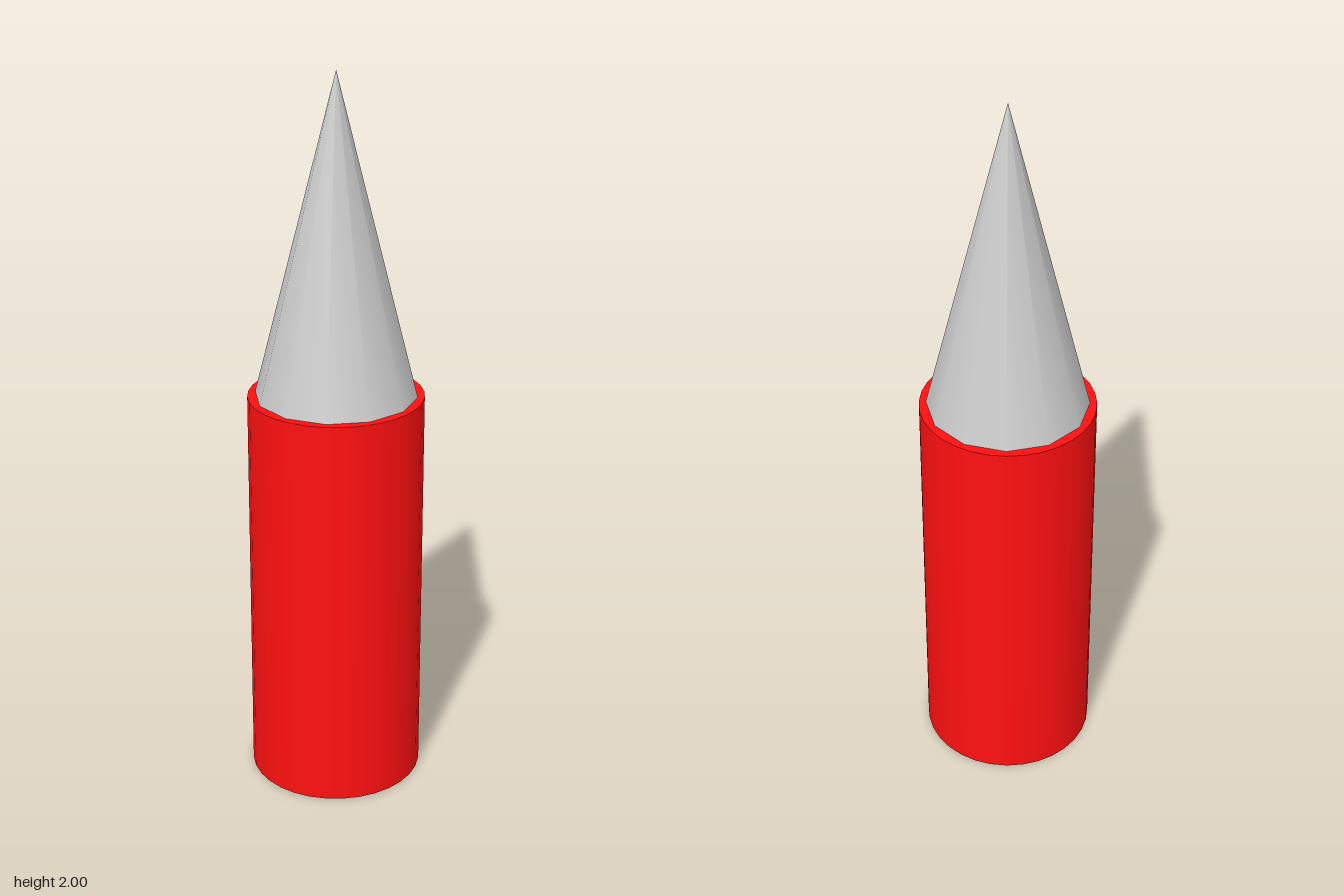
import * as THREE from 'three';

export function createModel() {
  const model = new THREE.Group();
  const bodyHeight = 1.12;
  const tipHeight = 2 - bodyHeight;

  // Adds a part standing on baseY, stretched to its own radii along x and z
  const addPart = (name, geometry, color, rx, rz, height, baseY) => {
    const mesh = new THREE.Mesh(geometry, new THREE.MeshStandardMaterial({ color }));
    mesh.name = name;
    geometry.scale(rx, height, rz);
    geometry.translate(0, baseY + height / 2, 0);
    model.add(mesh);
  };

  // Slightly oval red cylinder, closed at both ends
  addPart('body', new THREE.CylinderGeometry(1, 1, 1, 32), 0xff1010, 0.241, 0.25, bodyHeight, 0);

  // Twelve-sided smooth-shaded pointed tip
  addPart('tip', new THREE.ConeGeometry(1, 1, 12), 0xcccccc, 0.222, 0.229, tipHeight, bodyHeight);

  return model;
}
